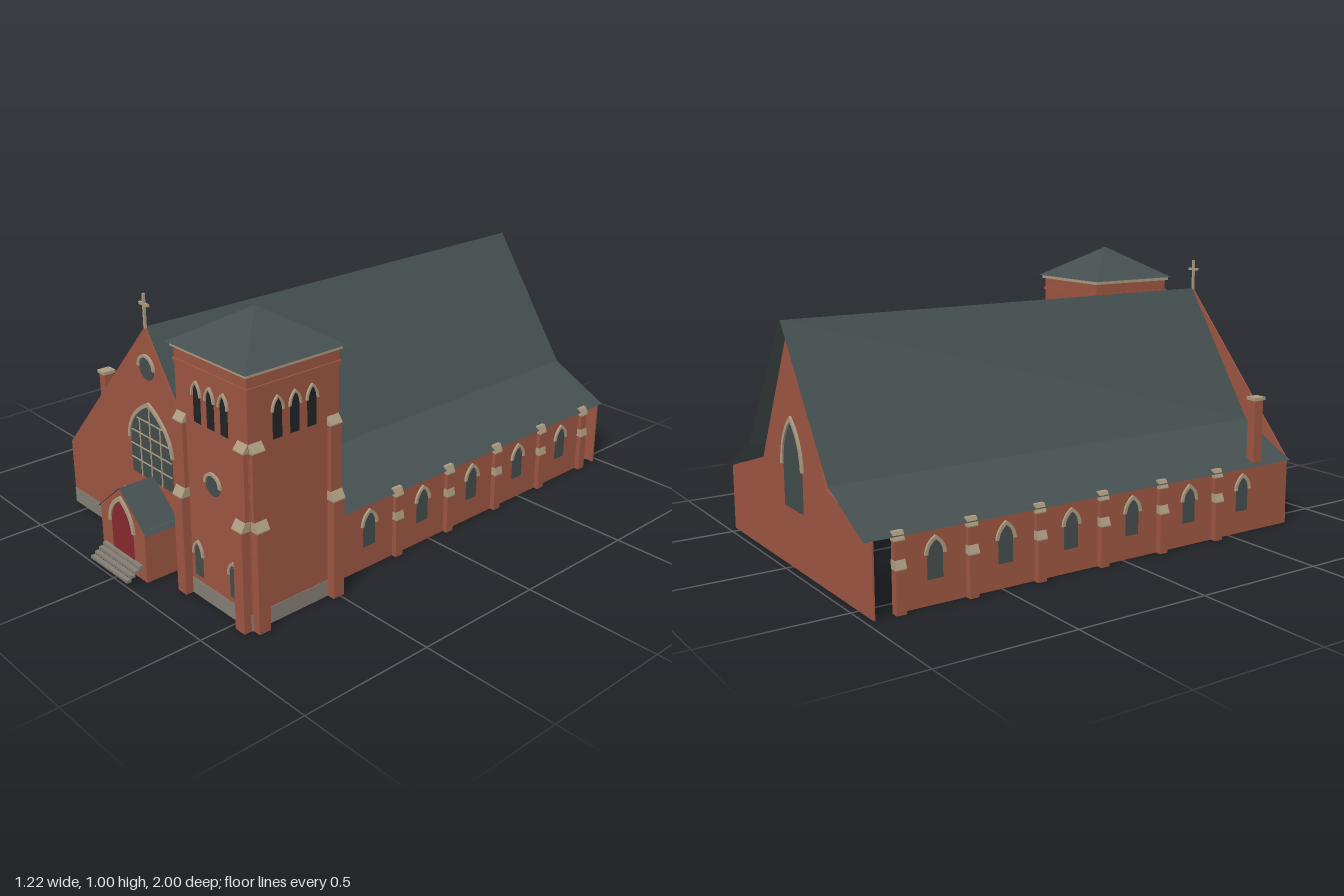
import * as THREE from 'three';

const mat = (name, color, side = THREE.FrontSide) => {
  const m = new THREE.MeshStandardMaterial({ color, side });
  m.name = name;
  return m;
};

export function createModel() {
  const brick = mat('brick', 0x9c5541);
  const slate = mat('slate', 0x454f4f, THREE.DoubleSide);
  const stone = mat('stone', 0xaa9a80);
  const base = mat('foundation', 0x837d74);
  const glass = mat('glass', 0x434c4b);
  const louvre = mat('belfryOpening', 0x202324);
  const red = mat('doorRed', 0x87282f);
  const T = 0.006; // wall thickness
  const RX = -0.03; // ridge line
  const model = new THREE.Group();
  model.name = 'church';

  const group = (parent, name, x = 0, y = 0, z = 0, ry = 0) => {
    const g = new THREE.Group();
    g.name = name;
    g.position.set(x, y, z);
    g.rotation.y = ry;
    parent.add(g);
    return g;
  };
  const add = (parent, name, geo, m, x = 0, y = 0, z = 0) => {
    const mesh = new THREE.Mesh(geo, m);
    mesh.name = name;
    mesh.position.set(x, y, z);
    parent.add(mesh);
    return mesh;
  };
  // box given by its extents
  const box = (parent, name, m, x0, x1, y0, y1, z0, z1) =>
    add(parent, name, new THREE.BoxGeometry(x1 - x0, y1 - y0, z1 - z0), m,
      (x0 + x1) / 2, (y0 + y1) / 2, (z0 + z1) / 2);
  // extrusion centred on z = 0
  const slab = (shape, depth) =>
    new THREE.ExtrudeGeometry(shape, { depth, bevelEnabled: false, curveSegments: 8 }).translate(0, 0, -depth / 2);
  const poly = (pts) => new THREE.Shape(pts.map((p) => new THREE.Vector2(p[0], p[1])));

  // pointed opening with a stone hood over its arch
  const lancet = (parent, name, x, y0, y1, w, m, rise = 0.85 * w, f = 0.011) => {
    const g = group(parent, name, x, 0, 0);
    const h = w / 2, s = y1 - rise;
    const arch = (p, r, top, back) => {
      const c = r * 0.95, k = s + (top - s) * 0.62;
      if (back) {
        p.quadraticCurveTo(c, k, 0, top);
        p.quadraticCurveTo(-c, k, -r, s);
      } else {
        p.quadraticCurveTo(-c, k, 0, top);
        p.quadraticCurveTo(c, k, r, s);
      }
    };
    const pane = new THREE.Shape();
    pane.moveTo(-h, y0);
    pane.lineTo(h, y0);
    pane.lineTo(h, s);
    arch(pane, h, y1, true);
    add(g, 'pane', slab(pane, 0.0096), m);
    const hood = new THREE.Shape();
    hood.moveTo(h + f, s);
    arch(hood, h + f, y1 + f * 1.3, true);
    hood.lineTo(-h, s);
    arch(hood, h, y1, false);
    add(g, 'hood', slab(hood, 0.022), stone);
    return g;
  };
  // round window with a stone hood over its upper half
  const roundWindow = (parent, name, x, y, r) => {
    const g = group(parent, name, x, y, 0);
    add(g, 'pane', new THREE.CylinderGeometry(r, r, 0.0096, 28).rotateX(Math.PI / 2), glass);
    const hood = new THREE.Shape();
    hood.absarc(0, 0, r + 0.006, 0, Math.PI, false);
    hood.absarc(0, 0, r - 0.004, Math.PI, 0, true);
    add(g, 'hood', slab(hood, 0.022), stone);
  };
  // stepped buttress facing local +z; stages are [top, depth, cap height, depth above]
  const buttress = (parent, x, w, stages) => {
    const g = group(parent, 'buttress', x, 0, 0);
    let y = 0;
    for (const [top, d, cap, next] of stages) {
      box(g, 'buttressShaft', brick, -w / 2, w / 2, y, top, -T / 2, d);
      const s = poly([[-T / 2, top], [d + 0.003, top], [d + 0.003, top + 0.004], [next, top + cap], [-T / 2, top + cap]]);
      add(g, 'buttressCap', slab(s, w + 0.004).rotateY(-Math.PI / 2), stone);
      y = top + cap;
    }
  };
  // folded roof sheet through [x, y] points, running along z
  const sheet = (pts, z0, z1) => {
    const v = [];
    for (let i = 0; i + 1 < pts.length; i++) {
      const [a, b] = [pts[i], pts[i + 1]];
      v.push(...a, z1, ...b, z1, ...b, z0, ...a, z1, ...b, z0, ...a, z0);
    }
    const g = new THREE.BufferGeometry();
    g.setAttribute('position', new THREE.Float32BufferAttribute(v, 3));
    g.computeVertexNormals();
    return g;
  };

  // main roof
  add(model, 'mainRoof', sheet([[-0.6, 0.25], [-0.36, 0.37], [RX, 0.855], [0.3, 0.37], [0.54, 0.25]], -1, 0.795), slate);

  // side walls with windows and buttresses
  const pitch = 0.262;
  for (const side of [1, -1]) {
    const wall = group(model, side > 0 ? 'leftWall' : 'rightWall', side > 0 ? 0.525 : -0.58, 0, 0, side * Math.PI / 2);
    const front = side > 0 ? 0.49 : 0.795;
    const ends = [-side * front, side * 0.89].sort((a, b) => a - b);
    box(wall, 'wallPanel', brick, ends[0], ends[1], 0, 0.25, -T / 2, T / 2);
    for (let i = side > 0 ? 0 : -1; i < 5; i++) {
      lancet(wall, 'sideWindow', -side * (0.3 - i * pitch), 0.085, 0.215, 0.056, glass);
      buttress(wall, -side * (0.168 - i * pitch), 0.034,
        [[0.145, side > 0 ? 0.022 : 0.027, 0.03, 0.019], [0.235, 0.018, 0.03, 0.01]]);
    }
    // inner nave wall under the roof break
    const inner = group(model, 'innerWall', RX + side * 0.32, 0, 0, side * Math.PI / 2);
    const innerEnds = [-side * (side > 0 ? 0.48 : 0.79), side * 0.89].sort((a, b) => a - b);
    box(inner, 'innerPanel', brick, innerEnds[0], innerEnds[1], 0.22, 0.37, -T / 2, T / 2);
    for (let i = 0; i < 5; i++) lancet(inner, 'innerWindow', -side * (0.3 - i * pitch), 0.25, 0.33, 0.04, glass, 0.034, 0.006);
  }

  // rear gable
  const rear = group(model, 'rearGable', 0, 0, -0.97, Math.PI);
  add(rear, 'rearWall', slab(poly([[-0.54, 0], [0.6, 0], [0.6, 0.245], [0.29, 0.34], [-RX, 0.835], [-0.23, 0.34], [-0.54, 0.245]]), T), brick);
  lancet(rear, 'rearWindow', -RX, 0.21, 0.515, 0.15, glass, 0.16, 0.014);

  // front gable
  const facade = group(model, 'frontGable', 0, 0, 0.795);
  add(facade, 'frontWall', slab(poly([[-0.58, 0], [0.215, 0], [0.215, 0.503], [RX, 0.855], [-0.58, 0.255]]), T), brick);
  box(facade, 'foundation', base, -0.58, 0.21, 0, 0.06, -0.005, 0.005);
  lancet(facade, 'greatWindow', RX, 0.29, 0.57, 0.246, glass, 0.15, 0.012);
  for (const x of [-0.0615, 0, 0.0615]) {
    box(facade, 'mullion', stone, RX + x - 0.002, RX + x + 0.002, 0.29, x ? 0.51 : 0.57, 0, 0.008);
  }
  [[0.346, 0.122], [0.4, 0.122], [0.453, 0.112], [0.508, 0.075]].forEach(([y, h]) =>
    box(facade, 'transom', stone, RX - h, RX + h, y - 0.002, y + 0.002, 0, 0.008));
  roundWindow(facade, 'gableRoundWindow', RX, 0.709, 0.043);
  lancet(facade, 'smallWindow', -0.215, 0.09, 0.195, 0.028, glass, 0.03, 0.007);

  // cross
  const cross = group(model, 'cross', RX, 0, 0.795);
  box(cross, 'crossPost', stone, -0.0045, 0.0045, 0.85, 0.97, -0.004, 0.004);
  box(cross, 'crossArm', stone, -0.026, 0.026, 0.928, 0.938, -0.004, 0.004);

  // porch, door and steps
  const porch = group(model, 'porch', RX, 0, 0);
  const gable = group(porch, 'porchFront', 0, 0, 0.93);
  add(gable, 'porchWall', slab(poly([[-0.135, 0], [0.135, 0], [0.135, 0.197], [0, 0.308], [-0.135, 0.197]]), T), brick);
  lancet(gable, 'door', 0, 0.06, 0.262, 0.13, red, 0.1, 0.014);
  for (const s of [-1, 1]) {
    const x = s * 0.132;
    box(porch, 'porchSide', brick, x - T / 2, x + T / 2, 0, 0.198, 0.795, 0.93);
  }
  add(porch, 'porchRoof', sheet([[-0.151, 0.184], [0, 0.31], [0.151, 0.184]], 0.795, 0.938), slate);
  for (let i = 0; i < 4; i++) {
    const z = 0.932 + i * 0.017, y = 0.06 - i * 0.0115;
    box(porch, 'step', base, -0.115, 0.115, y - 0.0105, y, z, z + 0.017);
  }

  // chimney
  const chimney = group(model, 'chimney', -0.564, 0, 0.637);
  box(chimney, 'chimneyStack', brick, -0.018, 0.018, 0.23, 0.495, -0.02, 0.02);
  box(chimney, 'chimneyCap', stone, -0.023, 0.023, 0.495, 0.507, -0.026, 0.026);

  // tower, one side per quarter turn
  const tower = group(model, 'tower', 0.389, 0, 0.664);
  const H = 0.183;
  for (let q = 0; q < 4; q++) {
    const turn = group(tower, 'towerTurn', 0, 0, 0, q * Math.PI / 2);
    const face = group(turn, 'towerSide', 0, 0, H - T / 2);
    box(face, 'towerWall', brick, -H, H, 0, 0.87, -T / 2, T / 2);
    box(face, 'foundation', base, -H, H, 0, 0.06, -0.005, 0.005);
    box(face, 'stringCourse', brick, -H - 0.005, H + 0.005, 0.818, 0.829, -T / 2, 0.008);
    for (const x of [-0.069, 0, 0.069]) lancet(face, 'belfryOpening', x, 0.64, 0.774, 0.036, louvre, 0.042, 0.007);
    if (q < 2) {
      for (const s of [-1, 1]) {
        buttress(face, s * 0.157, 0.046, [[0.36, 0.034, 0.032, 0.02], [0.622, 0.019, 0.03, 0.002]]);
      }
    }
    if (q === 0) {
      roundWindow(face, 'towerRoundWindow', 0, 0.448, 0.038);
      for (const x of [-0.094, 0.094]) lancet(face, 'towerWindow', x, 0.08, 0.205, 0.042, glass, 0.045, 0.008);
    }
  }
  box(tower, 'towerCornice', stone, -0.192, 0.192, 0.867, 0.88, -0.192, 0.192);
  const cap = new THREE.ConeGeometry(0.202 * Math.SQRT2, 0.125, 4, 1).rotateY(Math.PI / 4).toNonIndexed();
  cap.computeVertexNormals();
  add(tower, 'towerRoof', cap, slate, 0, 0.9425, 0);

  return model;
}
